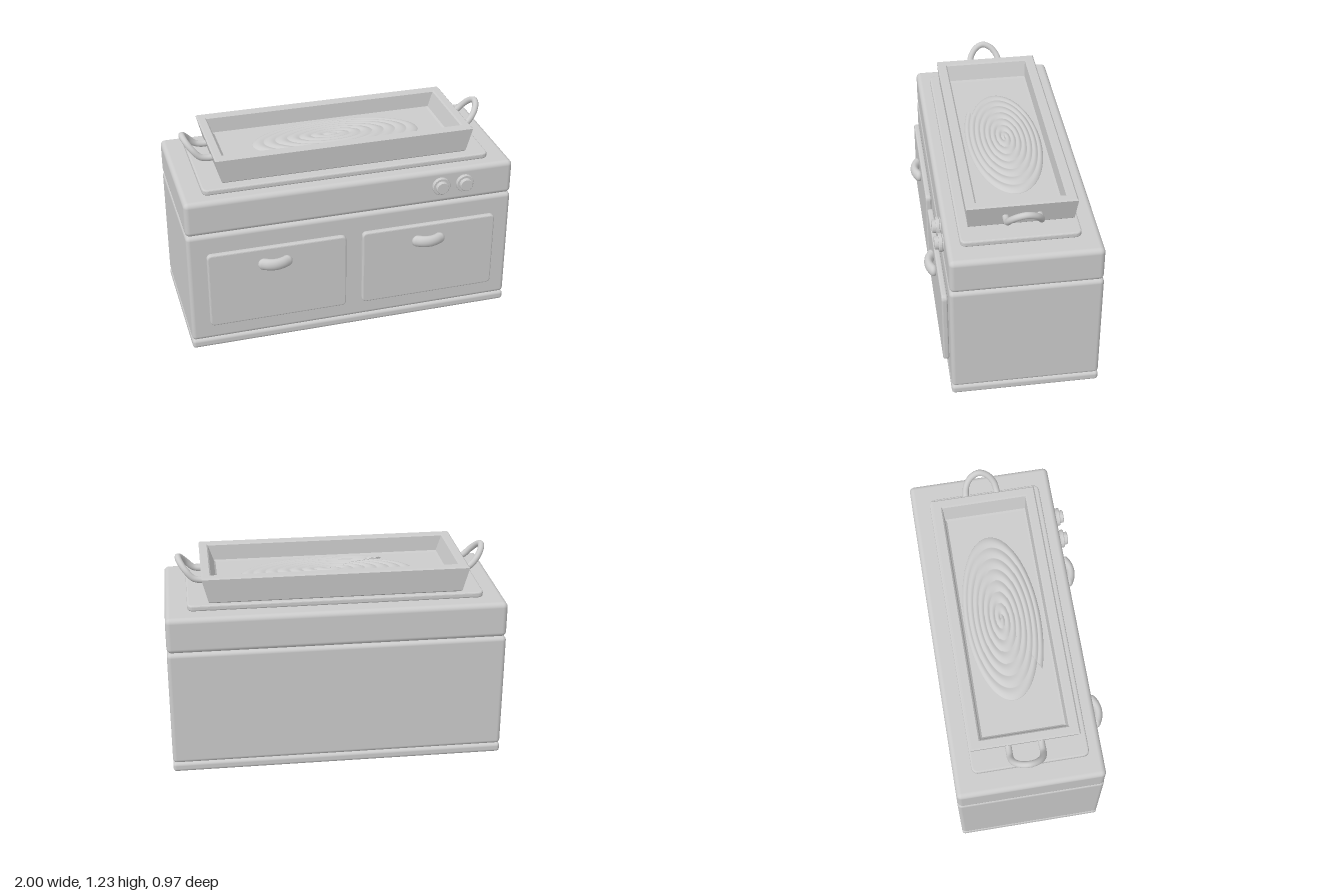
import * as THREE from 'three';
import { RoundedBoxGeometry } from 'three/addons/geometries/RoundedBoxGeometry.js';
import { ParametricGeometry } from 'three/addons/geometries/ParametricGeometry.js';

const MID_Z = -0.045;
const grey = new THREE.MeshStandardMaterial({ color: 0xcccccc });
const greyDouble = new THREE.MeshStandardMaterial({ color: 0xcccccc, side: THREE.DoubleSide });

function add(parent, name, geometry, x = 0, y = 0, z = 0, material = grey) {
  const mesh = new THREE.Mesh(geometry, material);
  mesh.name = name;
  mesh.position.set(x, y, z);
  parent.add(mesh);
  return mesh;
}

// Rounded block spanning y0..y1, centred on the cabinet depth
function block(parent, name, w, y0, y1, d, r) {
  return add(parent, name, new RoundedBoxGeometry(w, y1 - y0, d, 4, r), 0, (y0 + y1) / 2, MID_Z);
}

// Thin panel with rounded corners and softened edges, from z = 0 to z = t
function panel(w, h, t, r) {
  const b = 0.01, x = w / 2 - b, y = h / 2 - b;
  const s = new THREE.Shape();
  s.moveTo(-x + r, -y);
  s.lineTo(x - r, -y).quadraticCurveTo(x, -y, x, -y + r);
  s.lineTo(x, y - r).quadraticCurveTo(x, y, x - r, y);
  s.lineTo(-x + r, y).quadraticCurveTo(-x, y, -x, y - r);
  s.lineTo(-x, -y + r).quadraticCurveTo(-x, -y, -x + r, -y);
  const g = new THREE.ExtrudeGeometry(s, {
    depth: t - 2 * b, bevelEnabled: true, bevelSize: b, bevelThickness: b, bevelSegments: 3, curveSegments: 6,
  });
  return g.translate(0, 0, b);
}

// Round bar along a smooth path with ball ends
function bar(name, points, radius) {
  const group = new THREE.Group();
  group.name = name;
  const pts = points.map((p) => new THREE.Vector3(...p));
  add(group, name + 'Bar', new THREE.TubeGeometry(new THREE.CatmullRomCurve3(pts), 48, radius, 16));
  for (const p of [pts[0], pts[pts.length - 1]]) {
    add(group, name + 'End', new THREE.SphereGeometry(radius, 16, 12), p.x, p.y, p.z);
  }
  return group;
}

// Flared rectangular tray: loops of [half width, y, half depth] joined in order
function trayGeometry() {
  const loops = [
    [0, 1.03, 0], [0.738, 1.03, 0.292], [0.747, 1.038, 0.301], [0.783, 1.182, 0.313], [0.775, 1.19, 0.305],
    [0.735, 1.19, 0.26], [0.727, 1.182, 0.252], [0.695, 1.09, 0.245], [0.685, 1.08, 0.235], [0, 1.08, 0],
  ];
  const corners = [[1, 1], [1, -1], [-1, -1], [-1, 1]];
  const at = (l, c) => [l[0] * corners[c % 4][0], l[1], l[2] * corners[c % 4][1]];
  const pos = [];
  for (let i = 0; i < loops.length - 1; i++) {
    for (let c = 0; c < 4; c++) {
      const [p, q, r, s] = [at(loops[i], c), at(loops[i], c + 1), at(loops[i + 1], c + 1), at(loops[i + 1], c)];
      pos.push(...p, ...q, ...r, ...p, ...r, ...s);
    }
  }
  const g = new THREE.BufferGeometry();
  g.setAttribute('position', new THREE.Float32BufferAttribute(pos, 3));
  g.computeVertexNormals();
  return g;
}

// Coiled oval filling: spiral outline, ridges one pitch apart, low dome
function coilGeometry() {
  const pitch = 0.13, slices = 128, stacks = 112;
  return new ParametricGeometry((u, v, out) => {
    const wall = u < 0.5 / slices; // first column drops to the floor to close the coil's end
    const t = Math.max(0, (u * slices - 1) / (slices - 1));
    const outline = 1 - pitch * t;
    const rho = v * outline;
    const angle = THREE.MathUtils.degToRad(127) - t * Math.PI * 2;
    const ridge = Math.abs(Math.sin(Math.PI * (outline - rho) / pitch));
    const dome = 0.024 * Math.sqrt(Math.max(0, 1 - v * v));
    const y = wall ? 0 : dome + 0.007 * ridge;
    out.set(0.565 * rho * Math.cos(angle), y, 0.235 * rho * Math.sin(angle));
  }, slices, stacks);
}

export function createModel() {
  const model = new THREE.Group();
  model.name = 'stove';

  // Cabinet
  block(model, 'plinth', 2, 0, 0.058, 0.87, 0.02);
  block(model, 'cabinet', 2, 0.058, 0.778, 0.87, 0.025);
  block(model, 'worktop', 2, 0.778, 0.995, 0.866, 0.03);

  // Doors and their bowed handles
  for (const [side, doorX, handleX] of [['right', -0.47, -0.49], ['left', 0.47, 0.46]]) {
    add(model, side + 'Door', panel(0.84, 0.49, 0.035, 0.02), doorX, 0.415, 0.39);
    const handle = bar(side + 'DoorHandle',
      [[-0.068, 0, -0.01], [-0.035, 0, 0.012], [0, 0, 0.02], [0.035, 0, 0.012], [0.068, 0, -0.01]], 0.036);
    handle.scale.z = 0.72;
    handle.position.set(handleX, 0.562, 0.445);
    model.add(handle);
  }

  // Control knobs
  const knobProfile = [[0, 0], [0.05, 0], [0.05, 0.006], [0.055, 0.009], [0.055, 0.024], [0.052, 0.028],
    [0.039, 0.028], [0.039, 0.047], [0.035, 0.051], [0, 0.051]].map((p) => new THREE.Vector2(...p));
  for (const x of [0.54, 0.69]) {
    const knob = new THREE.LatheGeometry(knobProfile, 32).toNonIndexed();
    knob.computeVertexNormals();
    add(model, 'knob', knob, x, 0.9, 0.388).rotation.x = Math.PI / 2;
  }

  // Hot plate, tray and its filling
  add(model, 'hotPlate', panel(1.745, 0.68, 0.035, 0.03), -0.003, 0.994, -0.03).rotation.x = -Math.PI / 2;
  add(model, 'tray', trayGeometry(), -0.003, 0, -0.047);
  add(model, 'coiledFilling', coilGeometry(), 0, 1.078, -0.06, greyDouble);

  // Upswept tray handles
  const half = [[0.75, 1.1, 0.095], [0.79, 1.1, 0.095], [0.83, 1.112, 0.095], [0.872, 1.155, 0.083], [0.903, 1.195, 0.048]];
  const path = [...half, [0.915, 1.213, 0], ...half.map(([x, y, z]) => [x, y, -z]).reverse()];
  for (const [side, s] of [['left', 1], ['right', -1]]) {
    const handle = bar(side + 'TrayHandle', path.map(([x, y, z]) => [s * x, y, z]), 0.019);
    handle.position.set(-0.006, 0, -0.05);
    model.add(handle);
  }

  return model;
}
